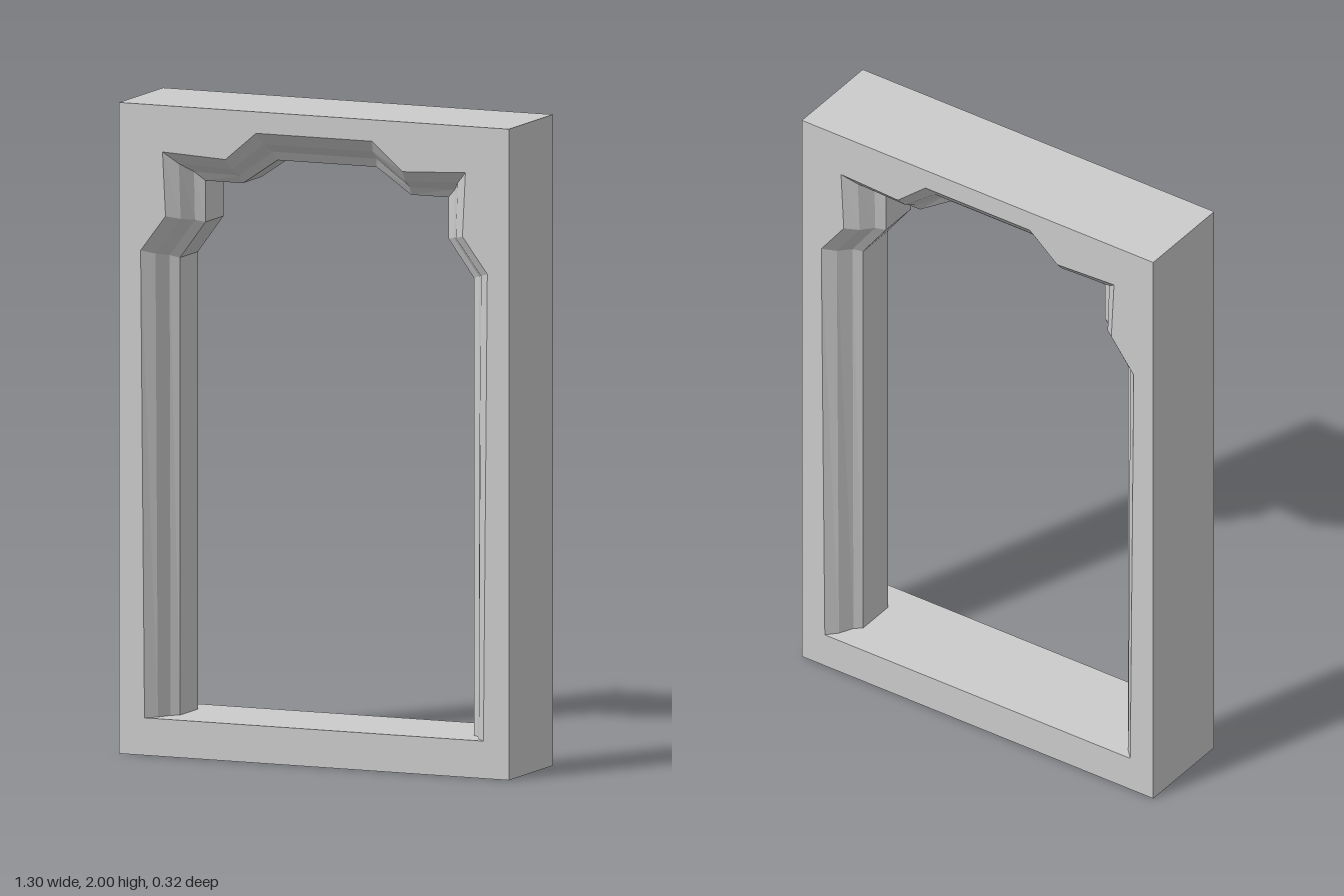
import * as THREE from 'three';

const W = 0.65, H = 2, D = 0.162, SILL = 0.115;

// Right half of the opening, bottom to top: [throat x, throat y, face x, face y]
const HALF = [
  [0.49, SILL, 0.565, SILL],
  [0.49, 1.52, 0.578, 1.55],
  [0.405, 1.635, 0.495, 1.66],
  [0.405, 1.762, 0.505, 1.857],
  [0.28, 1.762, 0.295, 1.847],
  [0.165, 1.84, 0.193, 1.934],
];
// Moulding section: [0 = throat .. 1 = face, z]
const SECTION = [[1, D], [0.6, 0.13], [0.3, 0.085], [0, 0.066]];

// Closed opening outline, counter-clockwise from the front
function opening(f) {
  const right = HALF.map(([x, y, X, Y]) => [x + (X - x) * f, y + (Y - y) * f]);
  const left = right.map(([x, y]) => [-x, y]).reverse();
  return [...right, ...left];
}

// Flat-faced surface through a series of closed rings
function loft(rings) {
  const pos = [];
  for (let k = 0; k < rings.length - 1; k++) {
    const a = rings[k], b = rings[k + 1], n = a.pts.length;
    for (let i = 0; i < n; i++) {
      const j = (i + 1) % n;
      const a0 = [...a.pts[i], a.z], a1 = [...a.pts[j], a.z];
      const b0 = [...b.pts[i], b.z], b1 = [...b.pts[j], b.z];
      pos.push(...a0, ...a1, ...b1, ...a0, ...b1, ...b0);
    }
  }
  const g = new THREE.BufferGeometry();
  g.setAttribute('position', new THREE.Float32BufferAttribute(pos, 3));
  g.computeVertexNormals();
  return g;
}

export function createModel() {
  const group = new THREE.Group();
  group.name = 'archedFrame';
  const material = new THREE.MeshStandardMaterial({ color: 0xcccccc, flatShading: true });
  const add = (name, geometry) => {
    const mesh = new THREE.Mesh(geometry, material);
    mesh.name = name;
    group.add(mesh);
    return mesh;
  };
  const toVectors = (pts) => pts.map(([x, y]) => new THREE.Vector2(x, y));
  const border = [[-W, 0], [W, 0], [W, H], [-W, H]];

  // Front and back faces with the opening cut out
  const shape = new THREE.Shape(toVectors(border));
  shape.holes.push(new THREE.Path(toVectors(opening(1))));
  const face = new THREE.ShapeGeometry(shape);
  add('frontFace', face).position.z = D;
  const back = add('backFace', face);
  back.position.z = -D;
  back.rotation.y = Math.PI;

  // Outer sides of the block
  add('outerSides', loft([{ pts: border, z: -D }, { pts: border, z: D }]));

  // Moulded reveal and sill, the same section front and back
  const front = SECTION.map(([f, z]) => ({ pts: opening(f), z }));
  const rear = SECTION.map(([f, z]) => ({ pts: opening(f), z: -z })).reverse();
  add('mouldedReveal', loft([...front, ...rear]));

  return group;
}
